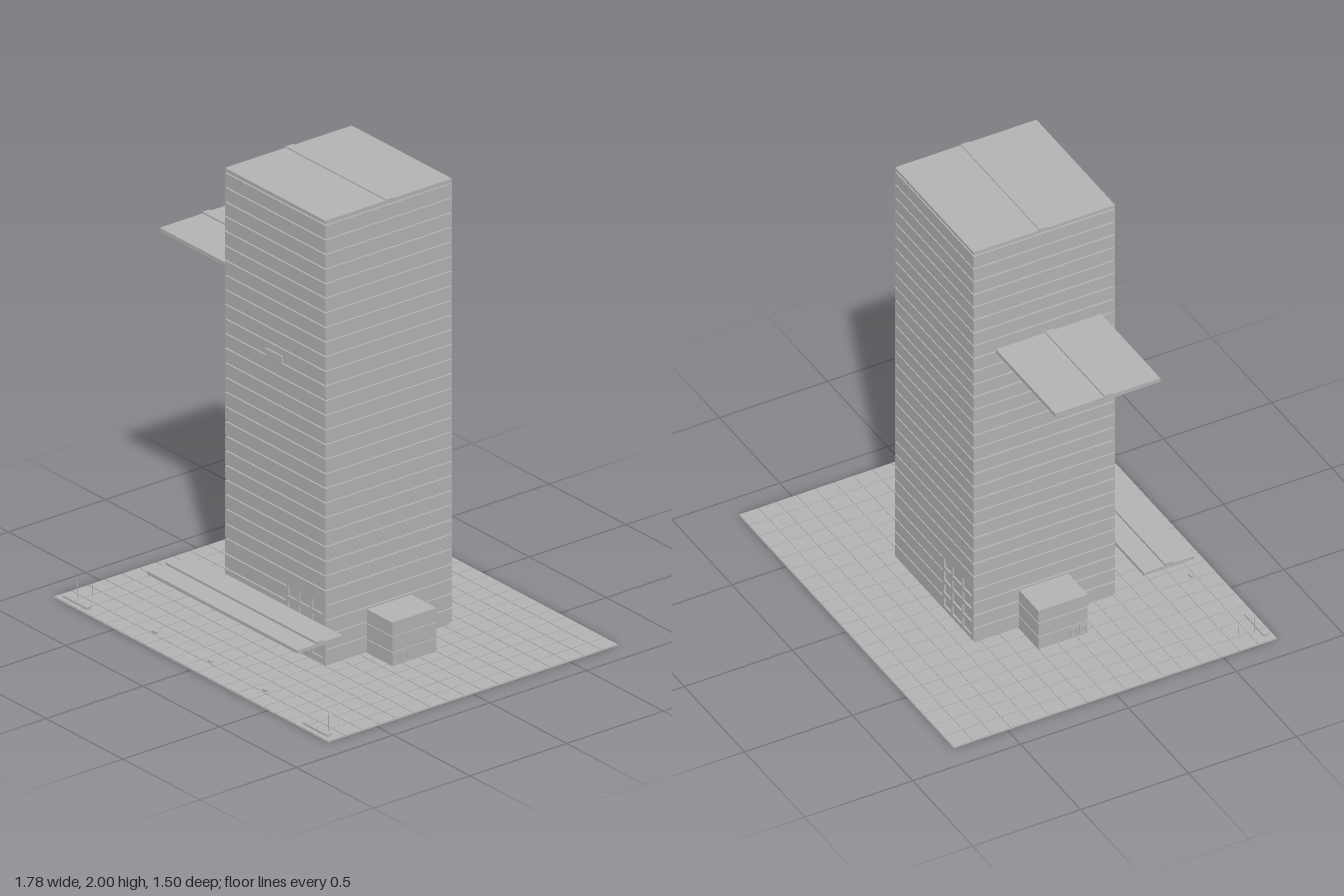
import * as THREE from 'three';
import { mergeGeometries } from 'three/addons/utils/BufferGeometryUtils.js';

const concrete = new THREE.MeshStandardMaterial({ color: 0xb4b4b4 });
concrete.name = 'concreteGrey';

// Box given by its lower and upper limits on each axis
function block(x0, x1, y0, y1, z0, z1) {
  return new THREE.BoxGeometry(x1 - x0, y1 - y0, z1 - z0)
    .translate((x0 + x1) / 2, (y0 + y1) / 2, (z0 + z1) / 2);
}

export function createModel() {
  const model = new THREE.Group();
  model.name = 'officeTower';
  const add = (name, parts) => {
    const mesh = new THREE.Mesh(mergeGeometries(parts), concrete);
    mesh.name = name;
    model.add(mesh);
  };

  // Paved plaza: a thin bed with a grid of separate tiles
  const W = 0.892, D = 0.75, NX = 21, NZ = 17, gap = 0.002;
  const tileW = 2 * W / NX, tileD = 2 * D / NZ;
  add('plazaBed', [block(-W, W, 0, 0.003, -D, D)]);
  const tiles = [];
  for (let i = 0; i < NX; i++) {
    for (let j = 0; j < NZ; j++) {
      const x = -W + i * tileW, z = -D + j * tileD;
      tiles.push(block(x + gap, x + tileW - gap, 0.003, 0.006, z + gap, z + tileD - gap));
    }
  }
  add('plazaTiles', tiles);

  // Tower: recessed core wrapped by storey bands with a groove between them
  const X0 = -0.328, X1 = 0.325, Z0 = -0.342, Z1 = 0.313;
  const storey = 0.0652, foot = 0.02, inset = 0.008, groove = 0.007;
  add('towerCore', [block(X0 + inset, X1 - inset, 0.003, 1.985, Z0 + inset, Z1 - inset)]);
  const bands = [];
  for (let i = 4; i < 30; i++) {
    const y = foot + i * storey;
    bands.push(block(X0, X1, y + groove / 2, y + storey - groove / 2, Z0, Z1));
  }
  add('storeyBands', bands);

  // Base storeys: floor ledges and piers framing the recessed glazing
  const base = [];
  for (let i = 0; i < 5; i++) {
    const y = foot + i * storey;
    base.push(block(X0, X1, y, y + (i < 4 ? 0.018 : 0.004), Z0, Z1));
  }
  const top = foot + 4 * storey;
  add('baseLedges', base);
  const piers = [];
  for (const x of [0.07, 0.14, 0.225, 0.31]) {
    piers.push(block(x, x + 0.012, foot, top, Z1 - inset, Z1));
    piers.push(block(-x - 0.012, -x, foot, top, Z0, Z0 + inset));
  }
  // Solid wall beside the glazed bays, front and back
  for (let i = 0; i < 4; i++) {
    const y = foot + i * storey + 0.018, y1 = foot + (i + 1) * storey - groove;
    piers.push(block(X0, 0.07, y, y1, Z1 - inset, Z1));
    piers.push(block(-0.07, X1, y, y1, Z0, Z0 + inset));
    piers.push(block(X0, X0 + inset, y, y1, Z0, Z1));
    piers.push(block(X1 - inset, X1, y, y1, Z0, Z1));
  }
  add('basePiers', piers);

  // Roof slab with its long low ridge
  add('roof', [
    block(X0, X1, 1.981, 1.995, Z0, Z1),
    block(X0, X1, 1.995, 2.0, -0.038, 0),
  ]);

  // Sign plate on the front
  add('signPlate', [block(-0.055, 0.05, 1.26, 1.292, Z1, 0.321)]);

  // Slab beside the tower, with ridge
  add('sideSlab', [
    block(-0.868, -0.375, 1.488, 1.506, -0.265, 0.222),
    block(-0.868, -0.375, 1.506, 1.513, -0.038, 0),
  ]);

  // Entrance canopy with ridge
  add('entranceCanopy', [
    block(-0.492, 0.488, 0.202, 0.217, 0.355, 0.587),
    block(-0.492, 0.488, 0.217, 0.227, 0.452, 0.49),
  ]);

  // Low annexes on both sides, split by a groove, with small framed windows
  for (const s of [-1, 1]) {
    const span = (a, b, ...rest) => block(Math.min(s * a, s * b), Math.max(s * a, s * b), ...rest);
    const parts = [
      span(0.32, 0.482, 0.003, 0.195, -0.126, 0.092),
      span(0.32, 0.488, 0.006, 0.065, -0.131, 0.097),
      span(0.32, 0.488, 0.07, 0.135, -0.131, 0.097),
      span(0.32, 0.488, 0.14, 0.2, -0.131, 0.097),
    ];
    add(s < 0 ? 'rightAnnex' : 'leftAnnex', parts);
    const frames = [];
    for (const z of [0.017, 0.06]) {
      frames.push(span(0.488, 0.491, 0.05, 0.055, z, z + 0.033));
      frames.push(span(0.488, 0.491, 0.012, 0.017, z, z + 0.033));
      frames.push(span(0.488, 0.491, 0.017, 0.05, z, z + 0.005));
      frames.push(span(0.488, 0.491, 0.017, 0.05, z + 0.028, z + 0.033));
    }
    add(s < 0 ? 'rightAnnexWindows' : 'leftAnnexWindows', frames);

    // Bench made of four seats on a rail
    const bench = [span(0.7, 0.862, 0.006, 0.01, 0.708, 0.728)];
    for (let i = 0; i < 4; i++) {
      const x = 0.703 + i * 0.04;
      bench.push(span(x, x + 0.036, 0.01, 0.018, 0.704, 0.732));
    }
    add(s < 0 ? 'rightBench' : 'leftBench', bench);

    // Thin posts near the bench
    const post = (x, h, z) => new THREE.CylinderGeometry(0.002, 0.002, h, 8).translate(s * x, h / 2, z);
    add(s < 0 ? 'rightPosts' : 'leftPosts', [post(0.815, 0.083, 0.688), post(0.8, 0.052, 0.622)]);
  }

  // Small planters along the front walk
  add('planters', [-0.36, 0, 0.355].map((x) => block(x - 0.012, x + 0.012, 0.006, 0.015, 0.64, 0.655)));

  return model;
}
